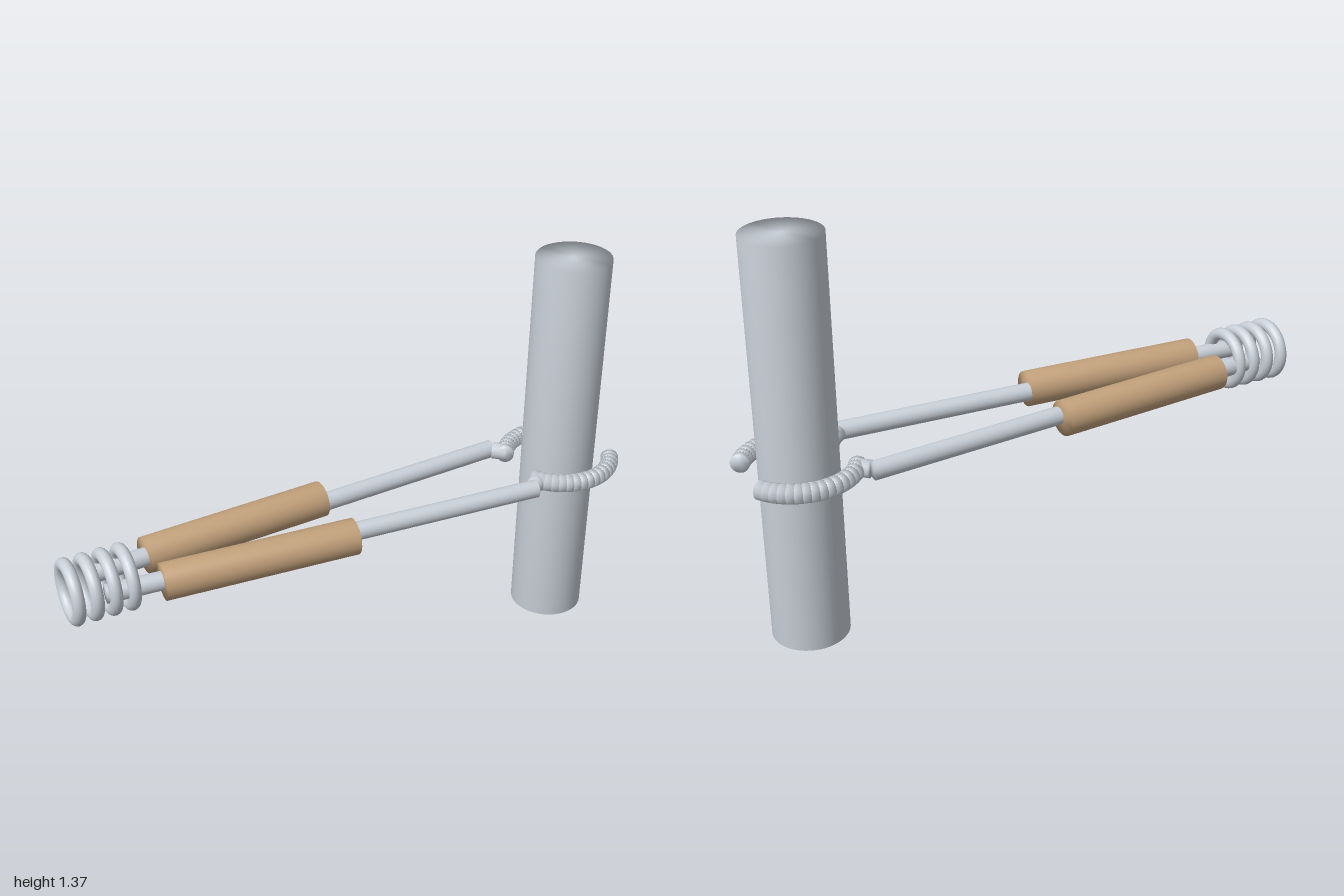
import * as THREE from 'three';
import { mergeVertices } from 'three/addons/utils/BufferGeometryUtils.js';

const AXIS_Y = 0.608; // height of the clamp
const TUBE_X = 0.807; // centre of the upright tube

const metal = new THREE.MeshStandardMaterial({ color: 0xc9d0d8 });
metal.name = 'paleMetal';
const wood = new THREE.MeshStandardMaterial({ color: 0xc4a27c });
wood.name = 'wood';

// Capped cylinder whose rims share soft normals with the caps
function softCylinder(radius, length, sides = 32) {
  const g = new THREE.CylinderGeometry(radius, radius, length, sides);
  g.deleteAttribute('uv');
  g.deleteAttribute('normal');
  const merged = mergeVertices(g, 1e-5);
  merged.computeVertexNormals();
  return merged;
}

// Soft cylinder between two points in the horizontal clamp plane
function bar(name, material, radius, [x1, z1], [x2, z2], sides) {
  const a = new THREE.Vector3(x1, AXIS_Y, z1);
  const b = new THREE.Vector3(x2, AXIS_Y, z2);
  const mesh = new THREE.Mesh(softCylinder(radius, a.distanceTo(b), sides), material);
  mesh.name = name;
  mesh.position.copy(a).add(b).multiplyScalar(0.5);
  mesh.quaternion.setFromUnitVectors(new THREE.Vector3(0, 1, 0), b.sub(a).normalize());
  return mesh;
}

// Curved jaw made from overlapping short segments
function makeJaw(side) {
  const jaw = new THREE.Group();
  jaw.name = 'jaw';
  const count = 17, radius = 0.183, from = Math.PI / 6, to = Math.PI * 5 / 6;
  const step = (to - from) / count;
  const geometry = softCylinder(0.031, 0.026, 20);
  for (let i = 0; i < count; i++) {
    const t = from + (i + 0.5) * step;
    const segment = new THREE.Mesh(geometry, metal);
    segment.name = 'jawSegment';
    segment.position.set(TUBE_X + radius * Math.cos(t), AXIS_Y, side * radius * Math.sin(t));
    segment.quaternion.setFromUnitVectors(
      new THREE.Vector3(0, 1, 0),
      new THREE.Vector3(-Math.sin(t), 0, side * Math.cos(t)));
    jaw.add(segment);
  }
  return jaw;
}

// One arm: spring stub, wooden grip, rod, elbow and jaw
function makeArm(side, name) {
  const arm = new THREE.Group();
  arm.name = name;
  arm.add(
    bar('springStub', metal, 0.031, [-0.885, side * 0.06], [-0.6, side * 0.08]),
    bar('grip', wood, 0.061, [-0.706, side * 0.08], [-0.06, side * 0.126]),
    bar('rod', metal, 0.031, [-0.3, side * 0.085], [0.622, side * 0.149]),
    bar('elbow', metal, 0.029, [0.625, side * 0.135], [0.662, side * 0.1], 20),
    makeJaw(side));
  return arm;
}

export function createModel() {
  const model = new THREE.Group();
  model.name = 'tubeHolder';

  // Upright tube
  const height = 1.365;
  const tube = new THREE.Mesh(softCylinder(0.127, height, 48), metal);
  tube.name = 'tube';
  tube.position.set(TUBE_X, height / 2, 0);
  model.add(tube);

  // Mirrored arms
  model.add(makeArm(1, 'frontArm'), makeArm(-1, 'backArm'));

  // Spring rings
  const ring = new THREE.TorusGeometry(0.089, 0.021, 16, 48);
  for (let i = 0; i < 4; i++) {
    const mesh = new THREE.Mesh(ring, metal);
    mesh.name = 'springRing';
    mesh.position.set(-0.979 + i * 0.0595, AXIS_Y, 0);
    mesh.rotation.y = Math.PI / 2;
    model.add(mesh);
  }
  return model;
}
